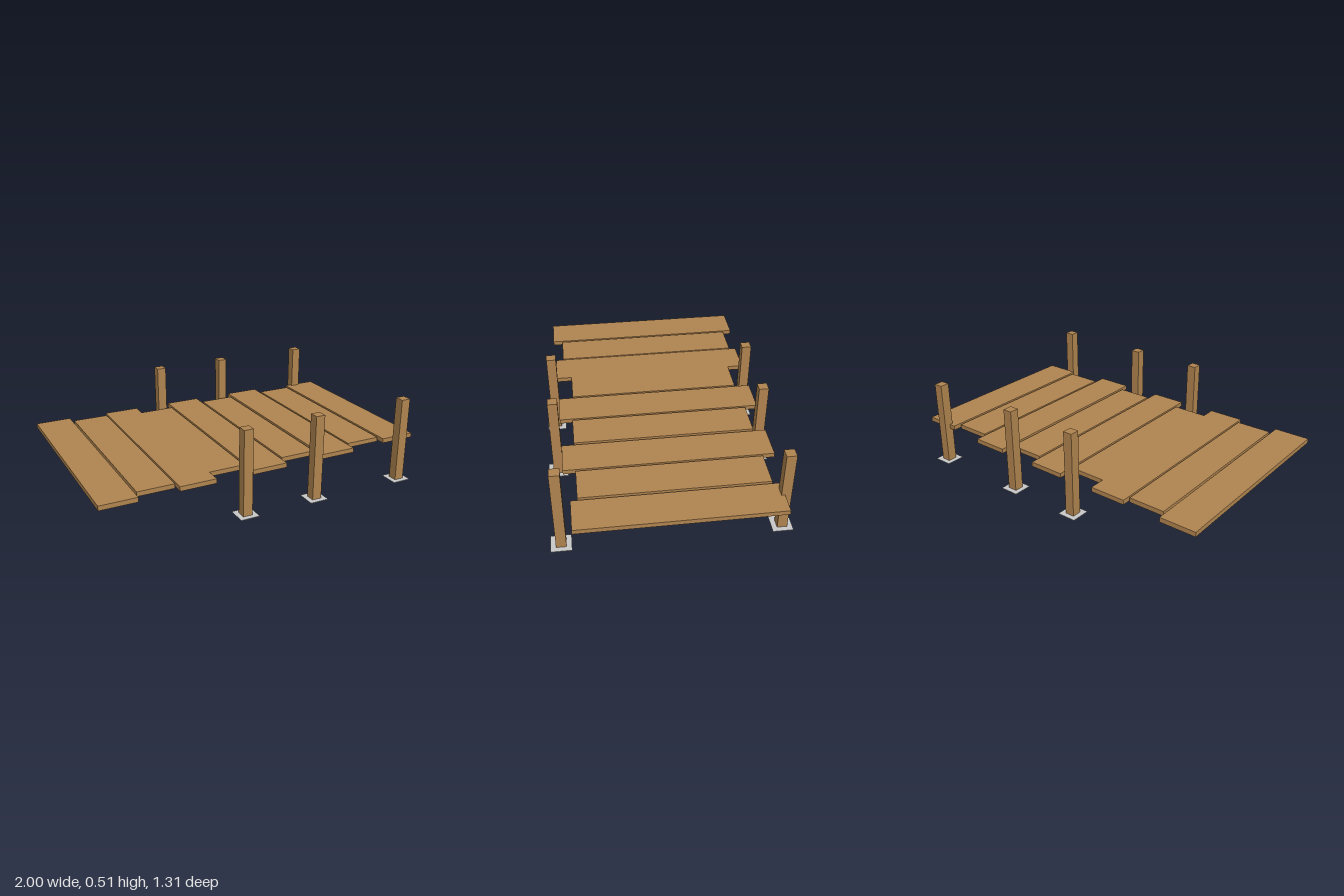
import * as THREE from 'three';

export function createModel() {
  const wood = new THREE.MeshStandardMaterial({ color: 0xb0844f });
  wood.name = 'wood';
  const metal = new THREE.MeshStandardMaterial({ color: 0xc8c8c8 });
  metal.name = 'greyMetal';

  const model = new THREE.Group();
  model.name = 'dock';

  // Box given by its low and high corners
  function addBox(parent, name, material, x0, x1, y0, y1, z0, z1) {
    const mesh = new THREE.Mesh(new THREE.BoxGeometry(x1 - x0, y1 - y0, z1 - z0), material);
    mesh.position.set((x0 + x1) / 2, (y0 + y1) / 2, (z0 + z1) / 2);
    mesh.name = name;
    parent.add(mesh);
  }

  // Deck planks: left edge, back end, front end
  const plankWidth = 0.212;
  const planks = [
    [-1, -0.645, 0.595],
    [-0.775, -0.59, 0.535],
    [-0.553, -0.63, 0.58],
    [-0.341, -0.535, 0.488],
    [-0.117, -0.625, 0.573],
    [0.107, -0.55, 0.498],
    [0.336, -0.62, 0.568],
    [0.56, -0.55, 0.498],
    [0.788, -0.59, 0.535],
  ];
  const deck = new THREE.Group();
  deck.name = 'deck';
  model.add(deck);
  planks.forEach(([x, back, front], i) =>
    addBox(deck, `plank${i + 1}`, wood, x, x + plankWidth, 0.216, 0.243, back, front));

  // Posts in pairs, each standing through a thin square foot plate
  const half = 0.028;
  const foot = 0.057;
  for (const x of [-0.177, 0.268, 0.855]) {
    for (const z of [-0.598, 0.6]) {
      const post = new THREE.Group();
      post.name = z > 0 ? 'frontPost' : 'backPost';
      model.add(post);
      addBox(post, 'postShaft', wood, x - half, x + half, 0, 0.51, z - half, z + half);
      addBox(post, 'footPlate', metal, x - foot, x + foot, 0.001, 0.004, z - foot, z + foot);
    }
  }
  return model;
}
